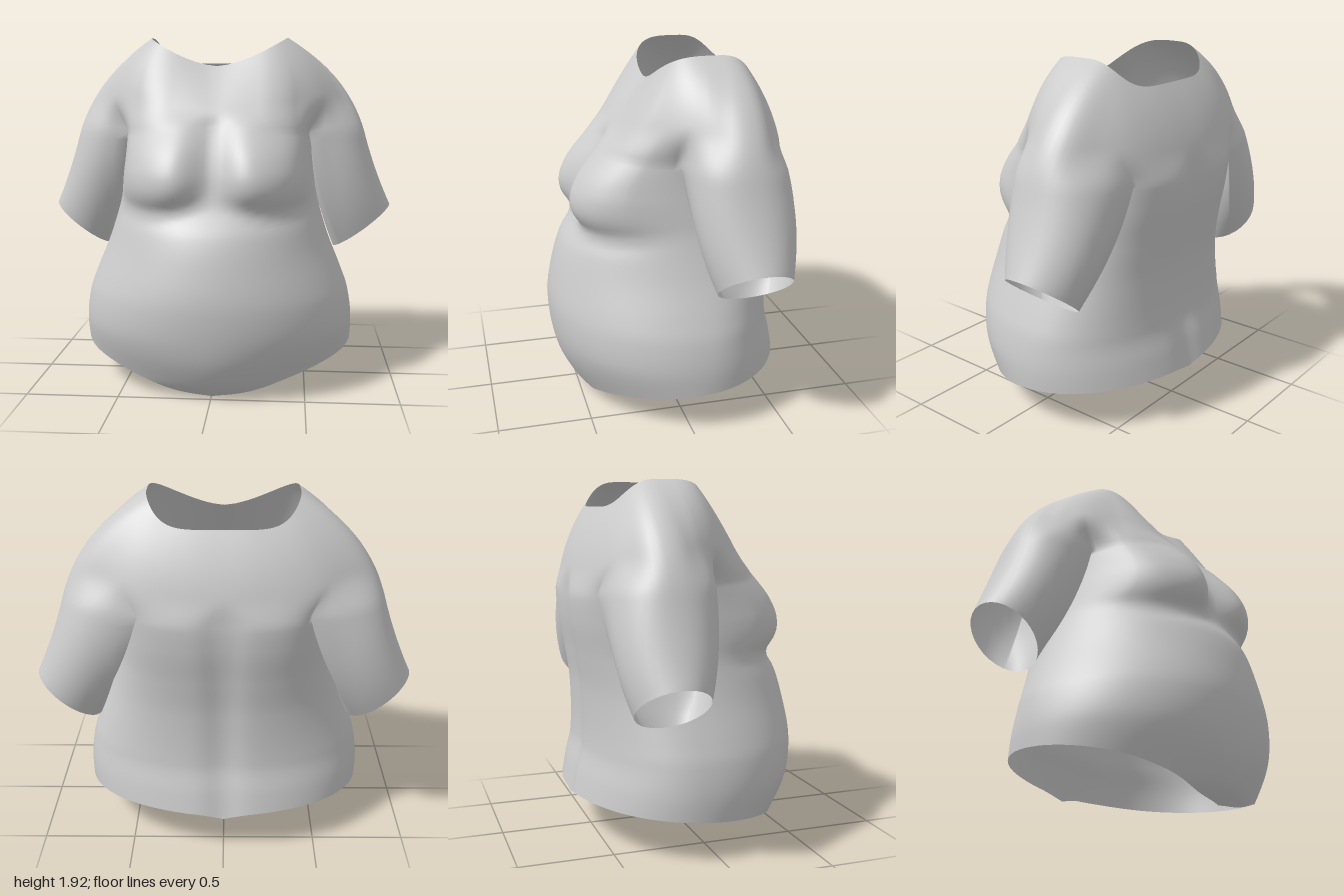
import * as THREE from 'three';

const N = 144;             // points round the torso
const K1 = 30, K2 = 53;    // columns where the left armhole starts and ends
const M = K2 - K1;

// smooth interpolation through [key, value] pairs
function at(table, k) {
  const n = table.length - 1;
  if (k <= table[0][0]) return table[0][1];
  if (k >= table[n][0]) return table[n][1];
  let i = 0;
  while (table[i + 1][0] < k) i++;
  const slope = (j) => {
    const a = table[Math.max(j - 1, 0)], b = table[Math.min(j + 1, n)];
    return (b[1] - a[1]) / (b[0] - a[0]);
  };
  const [x0, y0] = table[i], [x1, y1] = table[i + 1];
  const h = x1 - x0, t = (k - x0) / h, u = 1 - t;
  return y0 * (1 + 2 * t) * u * u + slope(i) * h * t * u * u
    + y1 * t * t * (3 - 2 * t) - slope(i + 1) * h * t * t * u;
}
const spow = (v, e) => Math.sign(v) * Math.pow(Math.abs(v), e);
const lerp = THREE.MathUtils.lerp;

// torso profiles by height
const WIDTH = [[0, 0.75], [0.2, 0.765], [0.35, 0.768], [0.5, 0.745], [0.6, 0.71], [0.8, 0.63], [1, 0.57], [1.15, 0.545], [1.3, 0.53], [1.5, 0.53]];
const FRONT = [[0, 0.45], [0.08, 0.53], [0.25, 0.61], [0.5, 0.645], [0.7, 0.62], [0.88, 0.565], [1, 0.485], [1.1, 0.45], [1.2, 0.42], [1.3, 0.38], [1.45, 0.3]];
const BACK = [[0.18, -0.645], [0.35, -0.61], [0.5, -0.575], [0.8, -0.575], [1, -0.6], [1.2, -0.63], [1.37, -0.63], [1.5, -0.58]];
const MIDDLE = [[0, -0.08], [0.6, -0.1], [1, -0.15], [1.4, -0.22]];
const CHEST = [[0.94, 0], [1, 0.03], [1.06, 0.09], [1.12, 0.125], [1.2, 0.135], [1.3, 0.122], [1.45, 0.07]];
const FRONT_SHAPE = [[0, 1.13], [0.12, 1.12], [0.35, 0.98], [0.8, 0.97], [1.2, 0.8]];
const BACK_SHAPE = [[0.2, 0.95], [0.5, 0.93], [0.8, 0.85], [1.2, 0.68], [1.4, 0.6]];
const HEM = [[0, 0], [17, 0.03], [35, 0.1], [55, 0.16], [90, 0.215], [130, 0.24], [170, 0.235], [180, 0.2]];

function torsoPoint(theta, y) {
  const s = Math.sin(theta), c = Math.cos(theta), front = c > 0;
  const e = at(front ? FRONT_SHAPE : BACK_SHAPE, y);
  const x = at(WIDTH, y) * spow(s, e), mid = at(MIDDLE, y);
  let z = mid + (front ? at(FRONT, y) - mid : mid - at(BACK, y)) * spow(c, e);
  if (front) {
    // two chest swellings with a curved lower edge
    const d = Math.abs(x) - 0.33;
    z += at(CHEST, y - 0.8 * d * d) * Math.exp(-Math.pow(d / 0.26, 4)) * Math.min(1, c * 2);
  } else {
    // groove down the spine
    z += 0.028 * Math.exp(-Math.pow(x / 0.09, 2));
  }
  return [x, y, z];
}

function neckPoint(theta) {
  const c = Math.cos(theta), r = spow(Math.sin(theta), 0.6), w = Math.abs(r);
  const y = c > 0 ? 1.76 + 0.16 * Math.pow(w, 1.6) : 1.78 + 0.14 * Math.pow(w, 6);
  return [0.39 * r, y, -0.19 + 0.27 * spow(c, 0.6)];
}

export function createModel() {
  const pos = [];
  const add = (p) => pos.push(...p) / 3 - 1;
  const get = (id) => pos.slice(id * 3, id * 3 + 3);
  const theta = (i) => (i / N) * Math.PI * 2;
  const columns = [...Array(N).keys()];

  // skin closed rings of vertex ids, listed from the bottom up
  function skin(rings) {
    const index = [];
    for (let r = 0; r + 1 < rings.length; r++) {
      const lo = rings[r], hi = rings[r + 1], n = lo.length;
      for (let i = 0; i < n; i++) {
        const j = (i + 1) % n;
        index.push(lo[i], lo[j], hi[j], lo[i], hi[j], hi[i]);
      }
    }
    return index;
  }

  // torso from the hem to armpit height
  const torsoRings = [];
  const ROWS = 56;
  for (let r = 0; r <= ROWS; r++) {
    torsoRings.push(columns.map((i) => {
      const a = theta(i);
      const deg = THREE.MathUtils.radToDeg(Math.min(a, Math.PI * 2 - a));
      return add(torsoPoint(a, lerp(at(HEM, deg), 1.375 + 0.05 * Math.cos(a), r / ROWS)));
    }));
  }
  const top = torsoRings[ROWS];

  // wide ring: the torso ring, swung out round both arms
  const wide = [...top];
  const p1 = get(top[K1]), p2 = get(top[K2]);
  for (const side of [1, -1]) {
    for (let j = 1; j < M; j++) {
      const phi = (Math.PI * j) / M;
      const t = (1 - spow(Math.cos(phi), 0.9)) / 2;
      const [x, y, z] = p1.map((v, n) => lerp(v, p2[n], t));
      const k = K1 + j;
      wide[side > 0 ? k : N - k] = add([side * (x + (0.845 - x) * Math.pow(Math.sin(phi), 0.75)), y, z]);
    }
  }

  // softened copy of the wide ring, so the armpit creases fade out upwards;
  // the outermost columns of each arm keep their place
  const SPAN = 9;
  const soft = columns.map((i) => {
    const sum = [0, 0, 0];
    for (let d = -SPAN; d <= SPAN; d++) {
      get(wide[(i + d + N) % N]).forEach((v, n) => { sum[n] += v / (2 * SPAN + 1); });
    }
    const keep = Math.exp(-Math.pow((Math.min(i, N - i) - (K1 + K2) / 2) / 5.5, 2));
    return get(wide[i]).map((v, n) => lerp(sum[n], v, keep));
  });

  // shoulders and upper chest, rising to the neck opening
  const yokeRings = [wide];
  const YOKE = 22;
  for (let r = 1; r <= YOKE; r++) {
    const t = r / YOKE, bulge = 4 * t * (1 - t);
    const fade = THREE.MathUtils.smoothstep(t, 0, 0.32);
    yokeRings.push(columns.map((i) => {
      const a = theta(i), s = Math.sin(a), c = Math.cos(a);
      const neck = neckPoint(a);
      const p = get(wide[i]).map((v, n) => lerp(lerp(v, soft[i][n], fade), neck[n], t));
      p[0] += 0.07 * bulge * s * Math.abs(s);
      p[1] += 0.045 * bulge * s * s;
      if (c < 0) p[2] += 0.03 * bulge * c;
      return add(p);
    }));
  }

  // sleeve: from the slanted cuff up to the armhole
  const WRAP = 0.85; // how far the outer face reaches round to the inside of the arm
  function sleeve(side) {
    const col = (k) => (side > 0 ? k : (N - k) % N);
    const hole = [], angles = [];
    for (let j = 0; j < M; j++) {
      hole.push(wide[col(K1 + j)]);
      angles.push(-WRAP + ((Math.PI + 2 * WRAP) * j) / M);
    }
    for (let j = 0; j < M; j++) {
      hole.push(top[col(K2 - j)]);
      angles.push(Math.PI + WRAP + ((Math.PI - 2 * WRAP) * j) / M);
    }
    const rings = [];
    const STEPS = 16;
    for (let r = 0; r < STEPS; r++) {
      const t = r / STEPS, bulge = 4 * t * (1 - t);
      rings.push(hole.map((id, j) => {
        const s = Math.sin(angles[j]), c = Math.cos(angles[j]);
        const cuff = [side * (0.835 + 0.165 * s), 0.828 + 0.127 * s, -0.29 + 0.19 * c];
        const p = get(id).map((v, n) => lerp(cuff[n], v, t));
        p[0] -= side * (0.02 - 0.01 * s) * bulge;
        p[2] += 0.035 * bulge * c;
        return add(p);
      }));
    }
    rings.push(hole);
    return skin(side > 0 ? rings : rings.map((ring) => [...ring].reverse()));
  }

  const parts = {
    torso: skin(torsoRings),
    shoulderYoke: skin(yokeRings),
    leftSleeve: sleeve(1),
    rightSleeve: sleeve(-1),
  };

  // normals are worked out over the whole shell so the seams stay smooth
  const shell = new THREE.BufferGeometry();
  shell.setAttribute('position', new THREE.Float32BufferAttribute(pos, 3));
  shell.setIndex(Object.values(parts).flat());
  shell.computeVertexNormals();

  const material = new THREE.MeshStandardMaterial({ color: 0xcccccc, side: THREE.DoubleSide });
  const group = new THREE.Group();
  group.name = 'shortSleevedTop';
  for (const [name, index] of Object.entries(parts)) {
    const geometry = new THREE.BufferGeometry();
    geometry.setAttribute('position', shell.getAttribute('position'));
    geometry.setAttribute('normal', shell.getAttribute('normal'));
    geometry.setIndex(index);
    const mesh = new THREE.Mesh(geometry, material);
    mesh.name = name;
    group.add(mesh);
  }
  return group;
}
